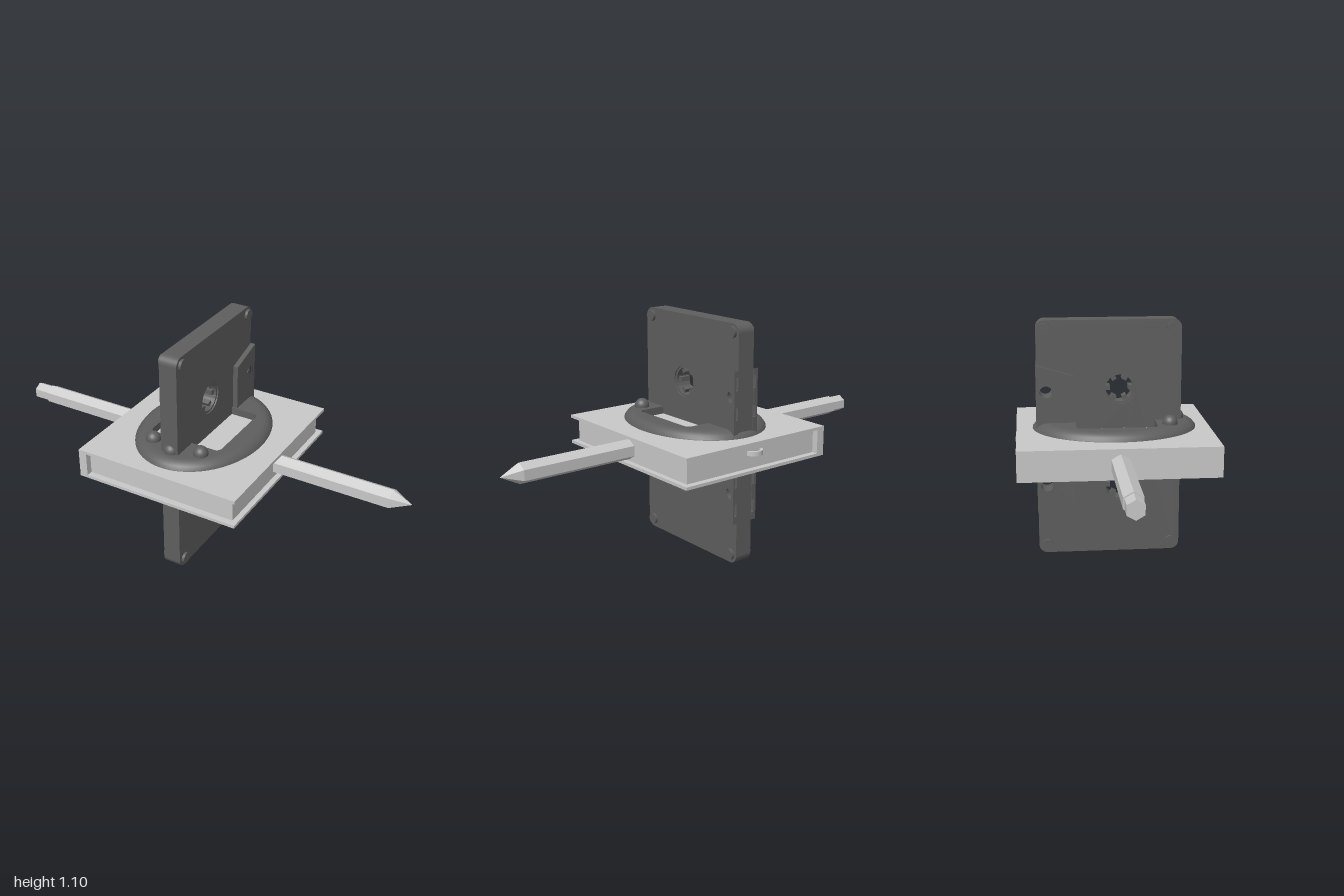
import * as THREE from 'three';

const light = new THREE.MeshStandardMaterial({ color: 0xc8c8c8 });
light.name = 'light grey';
const dark = new THREE.MeshStandardMaterial({ color: 0x5e5e5e });
dark.name = 'dark grey';

const CX = -0.022; // middle plane of the cassette and disc

function add(parent, name, geometry, material, x = 0, y = 0, z = 0) {
  const mesh = new THREE.Mesh(geometry, material);
  mesh.name = name;
  mesh.position.set(x, y, z);
  parent.add(mesh);
  return mesh;
}

function circlePath(x, y, r) {
  return new THREE.Path().absarc(x, y, r, 0, Math.PI * 2, true);
}

function polygon(points) {
  return new THREE.Shape(points.map(([x, y]) => new THREE.Vector2(x, y)));
}

function roundedRect(x0, y0, x1, y1, r) {
  return new THREE.Shape()
    .absarc(x1 - r, y1 - r, r, 0, Math.PI / 2)
    .absarc(x0 + r, y1 - r, r, Math.PI / 2, Math.PI)
    .absarc(x0 + r, y0 + r, r, Math.PI, Math.PI * 1.5)
    .absarc(x1 - r, y0 + r, r, Math.PI * 1.5, Math.PI * 2);
}

// Extrudes a (z, y) outline along x, centred on x = 0
function slab(shape, thickness) {
  return new THREE.ExtrudeGeometry(shape, { depth: thickness, bevelEnabled: false, curveSegments: 12 })
    .translate(0, 0, -thickness / 2)
    .rotateY(-Math.PI / 2);
}

function createCassette() {
  const g = new THREE.Group();
  g.name = 'cassette';
  g.position.x = CX;
  const reels = [0.322, 0.785], guides = [0.332, 0.775], reelZ = 0.027, guideZ = -0.308;

  // Shell with reel and guide openings
  const shell = roundedRect(-0.35, 0, 0.31, 1.1, 0.04);
  for (const y of reels) shell.holes.push(circlePath(reelZ, y, 0.073));
  for (const y of guides) shell.holes.push(circlePath(guideZ, y, 0.03));
  add(g, 'cassetteShell', slab(shell, 0.086), dark);

  // Toothed reel hubs
  for (const y of reels) {
    const hub = new THREE.Shape().absarc(0, 0, 0.0729, 0, Math.PI * 2);
    hub.holes.push(circlePath(0, 0, 0.063));
    add(g, 'reelRing', slab(hub, 0.074), dark, 0, y, reelZ);
    for (let i = 0; i < 6; i++) {
      const a = i * Math.PI / 3;
      const tooth = add(g, 'reelTooth', new THREE.BoxGeometry(0.05, 0.022, 0.024), dark,
        0, y + Math.sin(a) * 0.054, reelZ + Math.cos(a) * 0.054);
      tooth.rotation.x = -a;
    }
  }

  // Corner screws standing out on both sides
  for (const y of [0.041, 1.063]) for (const z of [-0.311, 0.269]) {
    add(g, 'screw', new THREE.CylinderGeometry(0.026, 0.026, 0.112, 24).rotateZ(Math.PI / 2), dark, 0, y, z);
  }

  // Raised trapezoid on each side: a notched inner layer under a plain skin
  const layer = (notched) => {
    const notches = !notched ? [] : [[0.235, 0.295], [0.37, 0.425], [0.68, 0.735], [0.812, 0.87]]
      .flatMap(([a, b]) => [[-0.353, a], [-0.315, a], [-0.315, b], [-0.353, b]]);
    const s = polygon([[-0.353, 0.2], ...notches, [-0.353, 0.9], [-0.185, 0.85], [-0.185, 0.25]]);
    for (const y of guides) s.holes.push(circlePath(guideZ, y, 0.03));
    return s;
  };
  for (const side of [-1, 1]) {
    add(g, 'tapeHousing', slab(layer(true), 0.014), dark, side * 0.05, 0, 0);
    add(g, 'tapeHousingSkin', slab(layer(false), 0.01), dark, side * 0.062, 0, 0);
  }
  return g;
}

function createBook() {
  const g = new THREE.Group();
  g.name = 'book';
  for (const y of [0.4675, 0.5925]) {
    add(g, 'cover', new THREE.BoxGeometry(0.8, 0.014, 0.89), light, -0.02, y, 0);
  }
  add(g, 'spine', new THREE.BoxGeometry(0.04, 0.111, 0.89), light, -0.4, 0.53, 0);
  add(g, 'pages', new THREE.BoxGeometry(0.736, 0.112, 0.83), light, -0.013, 0.53, 0);

  // Curved clasp on the back edge
  const clasp = new THREE.Shape()
    .absarc(0, 0, 0.045, 0, Math.PI)
    .absarc(0, 0, 0.033, Math.PI, 0, true);
  const geo = new THREE.ExtrudeGeometry(clasp, { depth: 0.02, bevelEnabled: false, curveSegments: 16 })
    .rotateX(-Math.PI / 2);
  add(g, 'clasp', geo, light, -0.02, 0.535, -0.405);
  return g;
}

function createDisc() {
  const g = new THREE.Group();
  g.name = 'ovalDisc';
  const A = 0.296, B = 0.378;
  const pts = (list) => list.map(([r, y]) => new THREE.Vector2(r, y));
  const oval = (p) => new THREE.LatheGeometry(pts(p), 64).scale(A, 1, B);

  // Rounded upper rim and shallow underside
  add(g, 'upperRim', oval([[1, 0.595], [0.995, 0.604], [0.965, 0.618], [0.92, 0.629], [0.88, 0.634], [0.84, 0.635]]),
    dark, -0.02, 0, 0.007);
  add(g, 'underside', oval([[0, 0.448], [0.9, 0.448], [0.95, 0.452], [0.98, 0.462]]), dark, -0.02, 0, 0.007);

  // Flat top with a rounded window showing the cover
  const top = new THREE.Shape().absellipse(0, 0, A * 0.84, B * 0.84, 0, Math.PI * 2);
  top.holes.push(new THREE.Path(roundedRect(-0.18, -0.183, 0.18, 0.183, 0.025).getPoints(6).reverse()));
  add(g, 'flatTop', new THREE.ExtrudeGeometry(top, { depth: 0.04, bevelEnabled: false, curveSegments: 32 })
    .rotateX(-Math.PI / 2), dark, -0.02, 0.595, 0.007);

  // Three domed buttons
  for (const [x, z] of [[-0.145, 0.25], [0.102, 0.25], [-0.022, 0.295]]) {
    add(g, 'buttonStem', new THREE.CylinderGeometry(0.034, 0.034, 0.04, 24, 1, true), dark, x, 0.622, z);
    add(g, 'buttonDome', new THREE.SphereGeometry(0.034, 24, 8, 0, Math.PI * 2, 0, Math.PI / 2), dark, x, 0.642, z);
  }
  return g;
}

function createPencil() {
  const g = new THREE.Group();
  g.name = 'pencil';
  // Hexagonal prism or cone lying along x with a corner pointing up
  const hex = (name, r0, r1, x0, x1) => {
    const geo = new THREE.CylinderGeometry(r1, r0, x1 - x0, 6).rotateY(Math.PI / 2).rotateZ(-Math.PI / 2);
    const flat = geo.toNonIndexed();
    flat.computeVertexNormals();
    add(g, name, flat, light, (x0 + x1) / 2, 0.53, 0);
  };
  hex('pencilShaft', 0.047, 0.047, -0.92, 0.905);
  hex('pencilTip', 0.047, 0.0005, 0.905, 0.995);
  hex('pencilEnd', 0.041, 0.041, -1, -0.92);
  return g;
}

export function createModel() {
  const model = new THREE.Group();
  model.name = 'model';
  model.add(createCassette(), createBook(), createDisc(), createPencil());
  return model;
}
